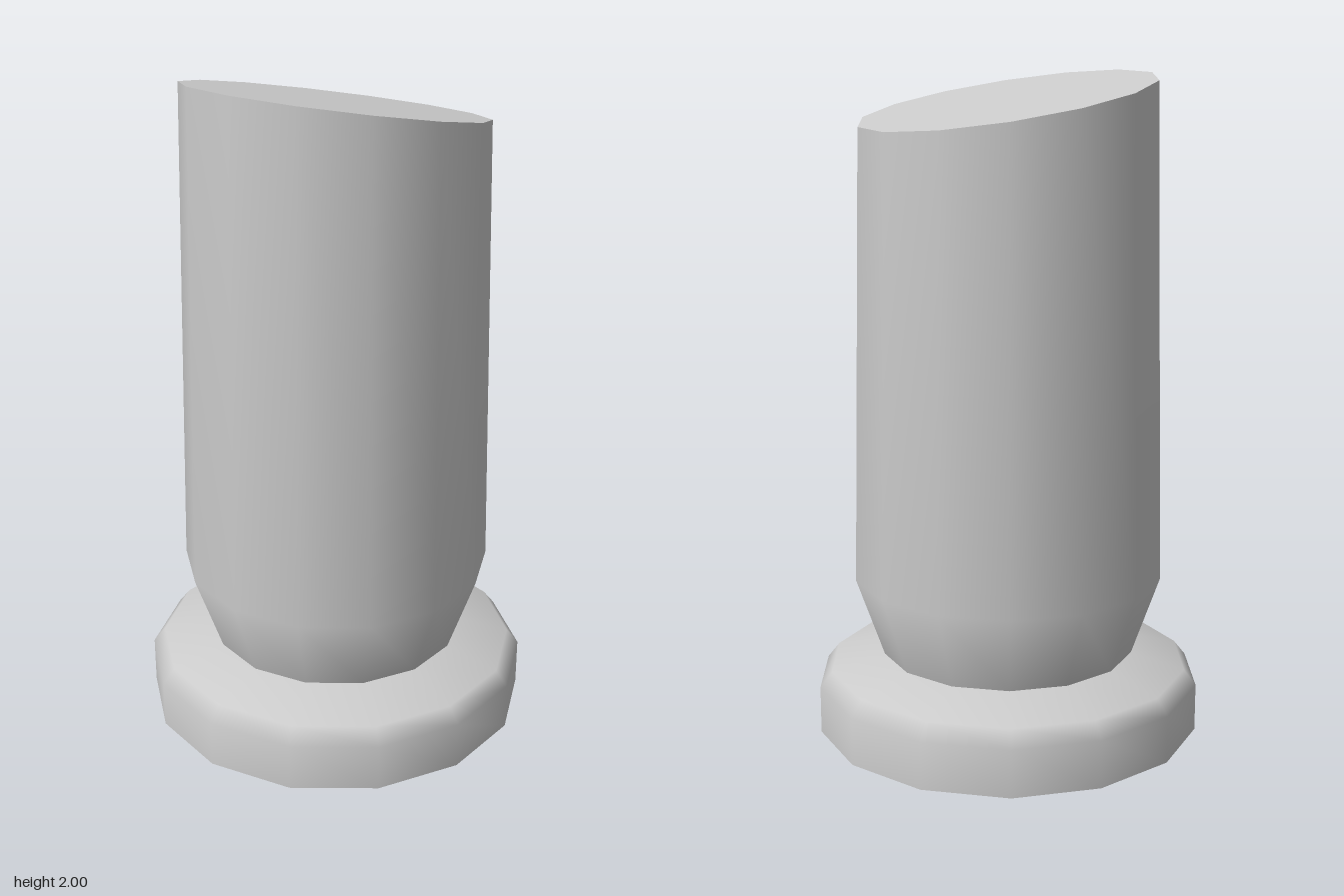
import * as THREE from 'three';

const SIDES = 14;
const TOP_Y = 1.915;
const SLOPE = -0.194; // slant of the cut top along x

export function createModel() {
  const group = new THREE.Group();
  const material = new THREE.MeshStandardMaterial({ color: 0xcccccc, side: THREE.DoubleSide });

  const add = (name, geometry) => {
    const mesh = new THREE.Mesh(geometry, material);
    mesh.name = name;
    group.add(mesh);
  };

  // Turned shell with a corner on the x axis
  const lathe = (profile) => new THREE.LatheGeometry(
    profile.map(([r, y]) => new THREE.Vector2(r, y)), SIDES, Math.PI / 2);

  // Tilts everything at the top height onto the slanted cut
  const slant = (geometry) => {
    const p = geometry.attributes.position;
    for (let i = 0; i < p.count; i++) {
      if (p.getY(i) > TOP_Y - 0.01) p.setY(i, TOP_Y + SLOPE * p.getX(i));
    }
    return geometry;
  };

  // Hollow base collar, open underneath
  add('baseCollar', lathe([[0.592, 0], [0.592, 0.145], [0.555, 0.192], [0.39, 0.236]]));

  // Tapered tube with a flared foot, open into the base
  add('body', slant(lathe([[0.39, 0.236], [0.475, 0.48], [0.443, TOP_Y]])));

  // Flat slanted lid
  const lid = slant(new THREE.CircleGeometry(0.443, SIDES).rotateX(-Math.PI / 2).translate(0, TOP_Y, 0));
  lid.computeVertexNormals();
  add('slantedTop', lid);

  return group;
}
